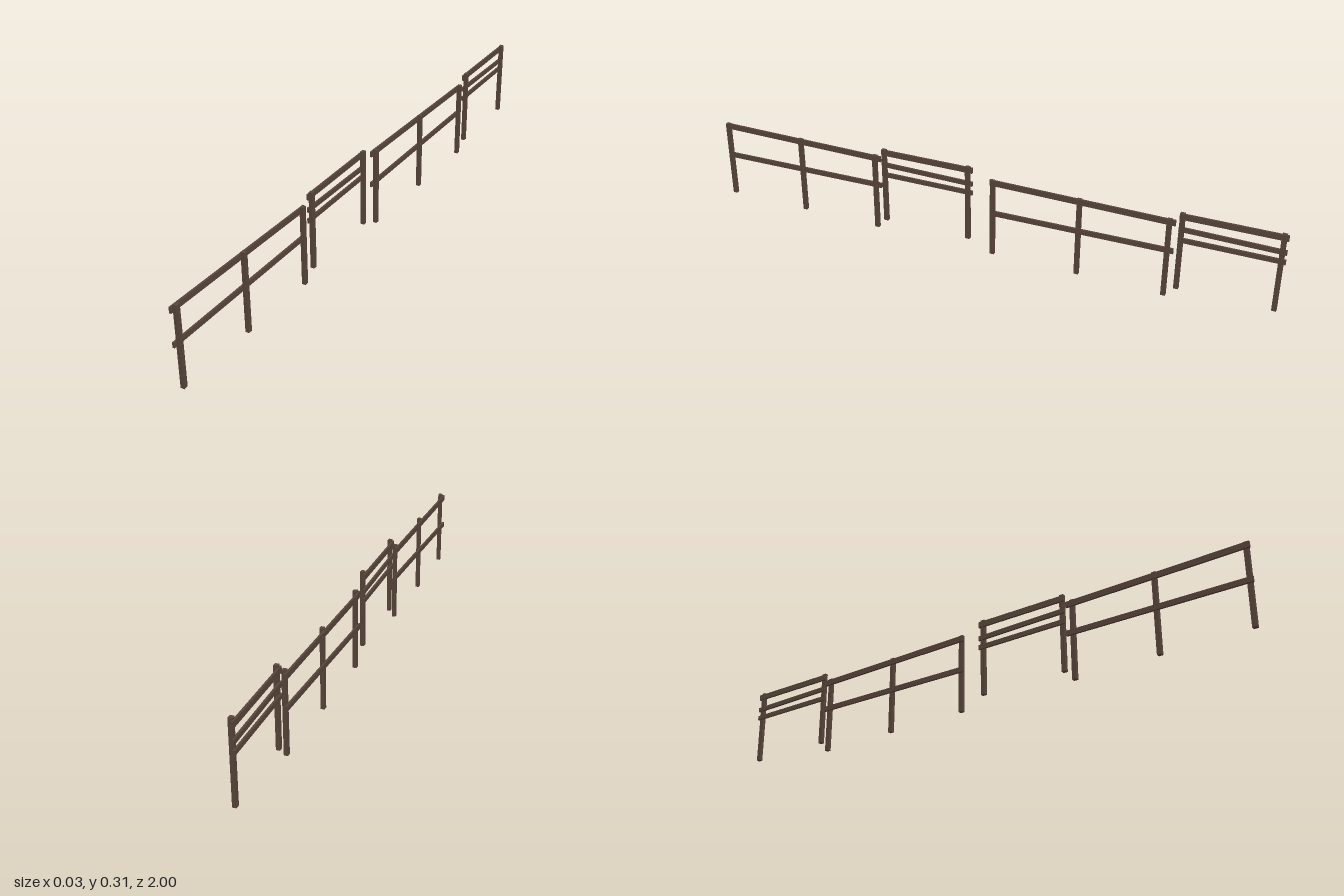
import * as THREE from 'three';

export function createModel() {
  const wood = new THREE.MeshStandardMaterial({ color: 0x57453a });
  wood.name = 'dark brown wood';
  const model = new THREE.Group();
  model.name = 'fence';

  // Square upright with its foot at y0
  function post(parent, x, z, y0, y1) {
    const mesh = new THREE.Mesh(new THREE.BoxGeometry(0.013, y1 - y0, 0.015), wood);
    mesh.position.set(x, (y0 + y1) / 2, z);
    mesh.name = 'post';
    parent.add(mesh);
  }

  // Plank running between two end points
  function rail(parent, a, b, height) {
    const from = new THREE.Vector3(...a), to = new THREE.Vector3(...b);
    const mesh = new THREE.Mesh(new THREE.BoxGeometry(0.007, height, from.distanceTo(to)), wood);
    mesh.position.copy(from).add(to).multiplyScalar(0.5);
    mesh.lookAt(from);
    mesh.name = 'rail';
    parent.add(mesh);
  }

  // Long panel: three posts, two rails
  function lowPanel() {
    const panel = new THREE.Group();
    panel.name = 'lowPanel';
    for (const [x, z] of [[0.0065, 0.985], [0.004, 0.685], [0.004, 0.391]]) post(panel, x, z, 0, 0.277);
    rail(panel, [-0.004, 0.261, 1], [-0.005, 0.261, 0.373], 0.02);
    rail(panel, [-0.004, 0.147, 1], [-0.005, 0.16, 0.373], 0.018);
    return panel;
  }

  // Short raised panel: two posts, three rails, slightly turned
  function highPanel() {
    const panel = new THREE.Group();
    panel.name = 'highPanel';
    post(panel, 0.01, 0.35, 0.04, 0.31);
    post(panel, 0.003, 0.043, 0.04, 0.31);
    for (const [yFront, yBack, height] of [[0.293, 0.293, 0.02], [0.248, 0.243, 0.016], [0.21, 0.21, 0.016]]) {
      rail(panel, [0.002, yFront, 0.361], [-0.0055, yBack, 0.03], height);
    }
    return panel;
  }

  // The pair of panels repeats once along the line
  for (let i = 0; i < 2; i++) {
    const section = new THREE.Group();
    section.name = i ? 'backSection' : 'frontSection';
    section.add(lowPanel(), highPanel());
    section.position.set(-0.008 * i, 0, -1.03 * i);
    model.add(section);
  }
  return model;
}
